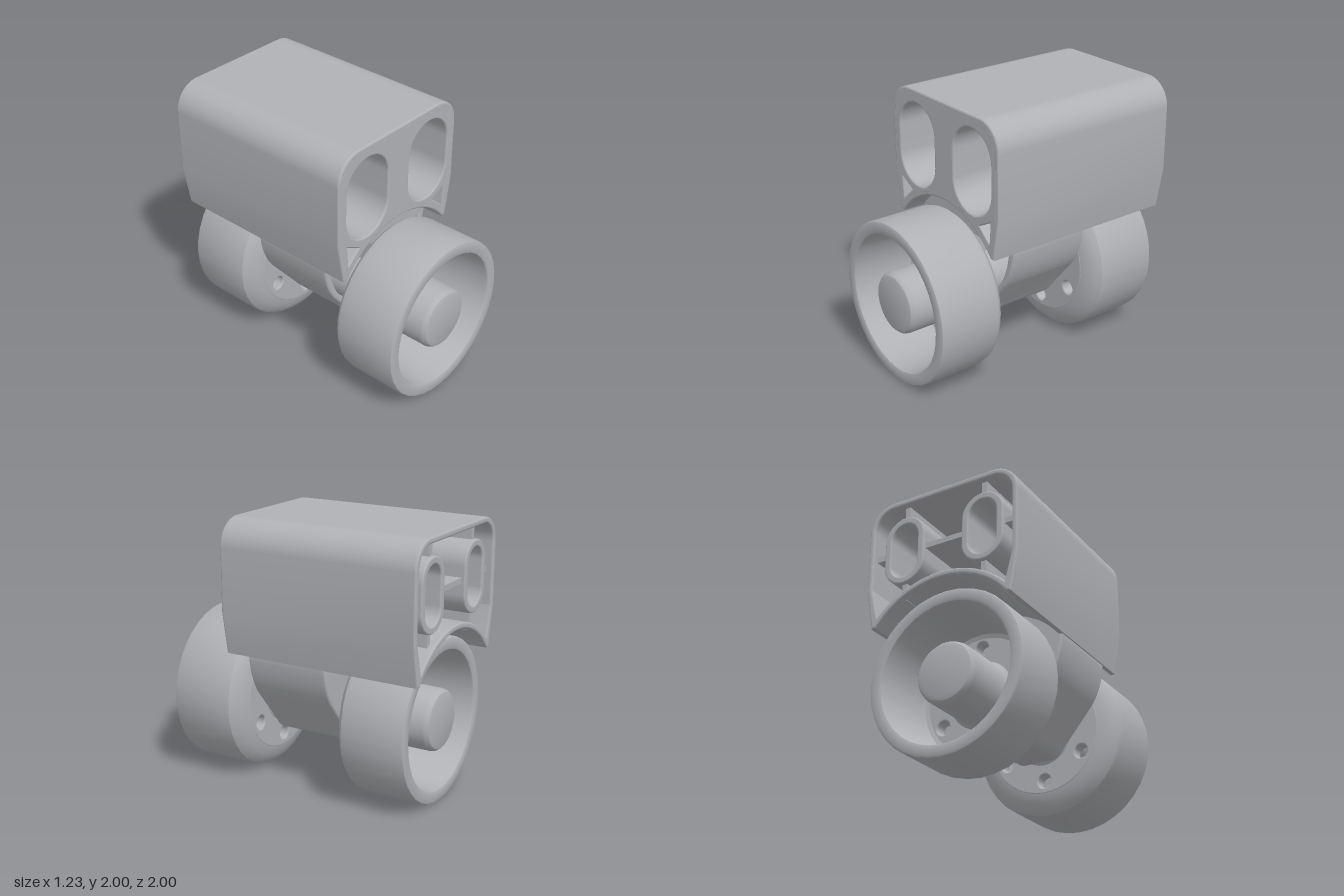
import * as THREE from 'three';
import { toCreasedNormals } from 'three/addons/utils/BufferGeometryUtils.js';

const AXLE_Y = 0.605;
const SLOT_X = 0.322, SLOT_Y = 1.593;

// Extrude a shape between two z values, rounding the end edges inward.
function extrude(shape, z0, z1, bevel = 0) {
  const geo = new THREE.ExtrudeGeometry(shape, {
    depth: z1 - z0 - 2 * bevel, curveSegments: 24,
    bevelEnabled: bevel > 0, bevelSize: bevel, bevelThickness: bevel,
    bevelOffset: -bevel, bevelSegments: 3,
  });
  geo.translate(0, 0, z0 + bevel);
  return toCreasedNormals(geo, 0.2);
}

// Upright slot with round ends.
function slot(x, y, halfW, halfH, Type = THREE.Path) {
  const s = new Type();
  const k = halfH - halfW;
  s.absarc(x, y + k, halfW, 0, Math.PI, false);
  s.absarc(x, y - k, halfW, Math.PI, Math.PI * 2, false);
  s.closePath();
  return s;
}

// Housing cross-section: rounded top, tapered skirts, wheel arch below.
function housingOutline(i, Type = THREE.Shape) {
  const w = 0.615 - i, top = 2 - i, r = 0.2 - i, foot = 0.56 - i, R = 0.67 + i;
  const meet = AXLE_Y + Math.sqrt(R * R - foot * foot);
  const y0 = Math.max(1.02 + i * 0.5, meet);
  const a = Math.asin((y0 - AXLE_Y) / R);
  const s = new Type();
  s.moveTo(foot, y0);
  s.lineTo(w, 1.33);
  s.lineTo(w, top - r);
  s.absarc(w - r, top - r, r, 0, Math.PI / 2, false);
  s.absarc(-w + r, top - r, r, Math.PI / 2, Math.PI, false);
  s.lineTo(-w, 1.33);
  s.lineTo(-foot, y0);
  s.absarc(0, AXLE_Y, R, Math.PI - a, a, true);
  s.closePath();
  return s;
}

// Axle bracket cross-section, hanging below the housing.
function bracketOutline(i, Type = THREE.Shape) {
  const w = 0.55 - i, R = 0.7 - 0.6 * i, a = Math.acos(w / R);
  const s = new Type();
  s.moveTo(-0.11, 0.36 + i);
  s.lineTo(0.11, 0.36 + i);
  s.quadraticCurveTo(0.165 - i * 0.3, 0.36 + i, 0.21 - i * 0.6, 0.43 + i * 0.7);
  s.lineTo(0.45 - i, 0.72);
  s.quadraticCurveTo(0.53 - i, 0.83, w, 1.0);
  s.absarc(0, AXLE_Y, R, a, Math.PI - a, false);
  s.lineTo(-w, 1.0);
  s.quadraticCurveTo(-0.53 + i, 0.83, -0.45 + i, 0.72);
  s.lineTo(-0.21 + i * 0.6, 0.43 + i * 0.7);
  s.quadraticCurveTo(-0.165 + i * 0.3, 0.36 + i, -0.11, 0.36 + i);
  return s;
}

// Lathe turned so that its axis runs along z.
function lathe(points) {
  const geo = new THREE.LatheGeometry(points.map(p => new THREE.Vector2(...p)), 36);
  geo.rotateX(Math.PI / 2);
  return toCreasedNormals(geo, 0.5);
}

export function createModel() {
  const model = new THREE.Group();
  model.name = 'twinWheelRoller';
  const grey = new THREE.MeshStandardMaterial({ color: 0xb0b1b5 });
  grey.name = 'grey plastic';

  const add = (parent, name, geo) => {
    const mesh = new THREE.Mesh(geo, grey);
    mesh.name = name;
    parent.add(mesh);
    return mesh;
  };
  const box = (parent, name, x0, x1, y0, y1, z0, z1) => {
    const mesh = add(parent, name, new THREE.BoxGeometry(x1 - x0, y1 - y0, z1 - z0));
    mesh.position.set((x0 + x1) / 2, (y0 + y1) / 2, (z0 + z1) / 2);
  };

  // Housing: outer shell, front block with pockets, partition with through slots
  const housing = new THREE.Group();
  housing.name = 'housing';
  model.add(housing);

  const shell = housingOutline(0);
  shell.holes.push(housingOutline(0.045, THREE.Path));
  add(housing, 'housingShell', extrude(shell, -1, 0.54, 0.015));

  const front = housingOutline(0.02);
  const partition = housingOutline(0.02);
  for (const s of [1, -1]) {
    front.holes.push(slot(s * SLOT_X, SLOT_Y, 0.21, 0.31));
    const triangle = new THREE.Path();
    triangle.moveTo(s * 0.525, 1.29);
    triangle.lineTo(s * 0.405, 1.225);
    triangle.lineTo(s * 0.512, 1.13);
    triangle.closePath();
    front.holes.push(triangle);
    partition.holes.push(slot(s * SLOT_X, SLOT_Y, 0.112, 0.212));
  }
  add(housing, 'frontBlock', extrude(front, -0.22, 0.54, 0.014));
  add(housing, 'partition', extrude(partition, -0.35, -0.22));

  // Slotted tubes and stiffening ribs in the open back
  for (const s of [1, -1]) {
    const tube = slot(s * SLOT_X, SLOT_Y, 0.165, 0.265, THREE.Shape);
    tube.holes.push(slot(s * SLOT_X, SLOT_Y, 0.112, 0.212));
    add(housing, 'slotTube', extrude(tube, -0.98, -0.34, 0.012));
    const x = s * SLOT_X, side = [s * 0.48, s * 0.585].sort((a, b) => a - b);
    box(housing, 'topRib', x - 0.02, x + 0.02, 1.85, 1.97, -0.95, -0.34);
    box(housing, 'lowerRib', x - 0.02, x + 0.02, 1.2, 1.335, -0.95, -0.34);
    box(housing, 'sideRib', ...side, SLOT_Y - 0.02, SLOT_Y + 0.02, -0.95, -0.34);
  }
  box(housing, 'centreRib', -0.17, 0.17, SLOT_Y - 0.02, SLOT_Y + 0.02, -0.95, -0.34);

  // Bracket: hollow from the front, with a hub and a vertical rib
  const bracket = new THREE.Group();
  bracket.name = 'axleBracket';
  model.add(bracket);
  const wall = bracketOutline(0);
  wall.holes.push(bracketOutline(0.06, THREE.Path));
  add(bracket, 'bracketWall', extrude(wall, -0.28, 0.36, 0.018));
  add(bracket, 'bracketBack', extrude(bracketOutline(0.03), -0.28, -0.18));
  const hubBlock = add(bracket, 'bracketHub', new THREE.CylinderGeometry(0.2, 0.2, 0.54, 36));
  hubBlock.rotation.x = Math.PI / 2;
  hubBlock.position.set(0, AXLE_Y, 0.08);
  box(bracket, 'bracketRib', -0.035, 0.035, 0.75, 1.285, -0.2, 0.34);
  const axle = add(bracket, 'axle', new THREE.CylinderGeometry(0.105, 0.105, 0.78, 32));
  axle.rotation.x = Math.PI / 2;
  axle.position.set(0, AXLE_Y, 0.04);

  // Wheels: dished rim, drilled web and round hub
  const rimGeo = lathe([
    [0.42, 0], [0.45, 0.003], [0.52, 0.025], [0.57, 0.055], [0.597, 0.085], [0.605, 0.12],
    [0.605, 0.55], [0.599, 0.564], [0.585, 0.57], [0.53, 0.57], [0.515, 0.564], [0.508, 0.55],
    [0.472, 0.14], [0.46, 0.11], [0.43, 0.1],
  ]);
  const hubGeo = lathe([
    [0, -0.06], [0.185, -0.06], [0.203, -0.053], [0.21, -0.035], [0.21, -0.015], [0.235, 0],
    [0.25, 0.1], [0.235, 0.115], [0.228, 0.13], [0.228, 0.515],
    [0.222, 0.54], [0.207, 0.558], [0.18, 0.567], [0, 0.567],
  ]);
  const web = new THREE.Shape();
  web.absarc(0, 0, 0.455, 0, Math.PI * 2, false);
  for (let k = 0; k < 6; k++) {
    const a = Math.PI / 2 + k * Math.PI / 3;
    const hole = new THREE.Path();
    hole.absarc(0.357 * Math.cos(a), 0.357 * Math.sin(a), 0.052, 0, Math.PI * 2, false);
    web.holes.push(hole);
  }
  const webGeo = extrude(web, 0, 0.1, 0.012);

  for (const [name, z, turn] of [['frontWheel', 0.43, 0], ['rearWheel', -0.35, Math.PI]]) {
    const wheel = new THREE.Group();
    wheel.name = name;
    wheel.position.set(0, AXLE_Y, z);
    wheel.rotation.y = turn;
    add(wheel, 'rim', rimGeo);
    add(wheel, 'web', webGeo);
    add(wheel, 'hub', hubGeo);
    model.add(wheel);
  }
  return model;
}
